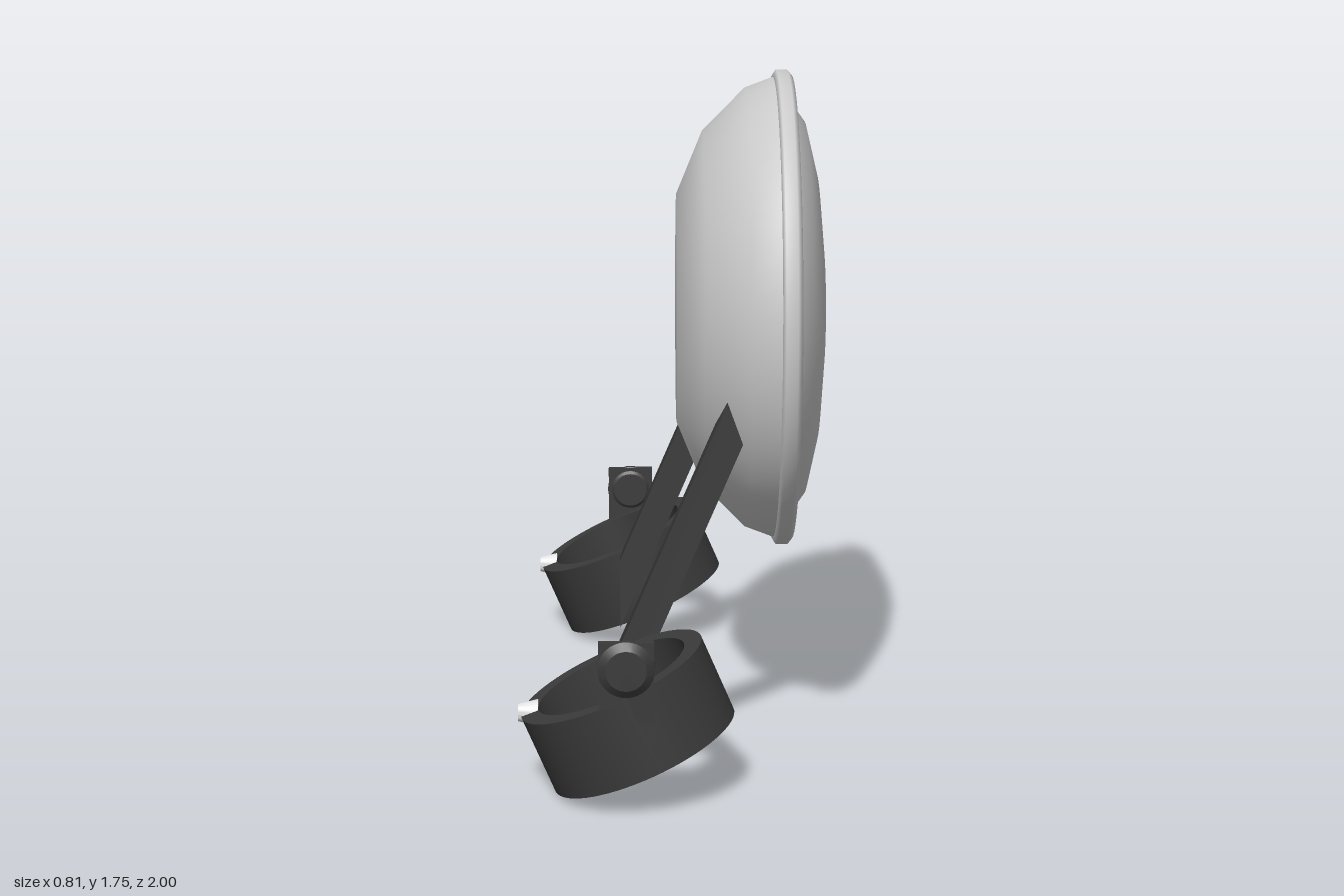
import * as THREE from 'three';
import { toCreasedNormals } from 'three/addons/utils/BufferGeometryUtils.js';

const TILT = 0.41;

const mat = (name, color, side = THREE.FrontSide) => {
  const m = new THREE.MeshStandardMaterial({ color, side });
  m.name = name;
  return m;
};

function mesh(name, geometry, material, x = 0, y = 0, z = 0) {
  const m = new THREE.Mesh(geometry, material);
  m.name = name;
  m.position.set(x, y, z);
  return m;
}

// Revolves [x, radius] pairs around the x axis
function latheX(pairs) {
  const pts = pairs.map(([x, r]) => new THREE.Vector2(r, x));
  return new THREE.LatheGeometry(pts, 64).rotateZ(-Math.PI / 2);
}

// Extrudes a shape and centres it on its depth
function slab(shape, depth) {
  const g = new THREE.ExtrudeGeometry(shape, { depth, bevelEnabled: false, curveSegments: 32 });
  return toCreasedNormals(g.translate(0, 0, -depth / 2), 0.6);
}

export function createModel() {
  const model = new THREE.Group();
  model.name = 'lampOnBracket';
  const shell = mat('light grey', 0xcccccc, THREE.DoubleSide);
  const black = mat('dark grey', 0x3a3a3a);
  const steel = mat('steel', 0xe4e4e4);

  // Lamp: bowl, rim and domed lens, facing +x
  const lamp = new THREE.Group();
  lamp.name = 'lamp';
  lamp.position.y = 1.113;
  lamp.add(
    mesh('bowl', latheX([[0, 0], [0, 0.31], [0.07, 0.48], [0.185, 0.595], [0.265, 0.625]]), shell),
    mesh('rim', latheX([[0.26, 0.6], [0.26, 0.63], [0.268, 0.643], [0.298, 0.643], [0.31, 0.628], [0.312, 0.598], [0.305, 0.567]]), shell),
    mesh('lens', latheX([[0.3, 0.568], [0.345, 0.505], [0.377, 0.37], [0.395, 0.19], [0.401, 0]]), shell)
  );
  model.add(lamp);

  // Shared shapes for the two clamps and arms
  const ring = new THREE.Shape().absarc(0, 0, 0.247, 0, Math.PI * 2);
  ring.holes.push(new THREE.Path().absarc(0, 0, 0.2, 0, Math.PI * 2, true));
  const ringGeo = slab(ring, 0.208).rotateX(-Math.PI / 2);
  const armShape = new THREE.Shape([[0.125, 0.95], [-0.16, 0.29], [-0.16, 0.083], [0.165, 0.84]]
    .map(([x, y]) => new THREE.Vector2(x, y)));
  const armGeo = slab(armShape, 0.064);
  const lugGeo = new THREE.BoxGeometry(0.135, 0.2, 0.024);
  const knobGeo = toCreasedNormals(new THREE.LatheGeometry(
    [[0, -0.022], [0.05, -0.022], [0.07, -0.008], [0.07, 0.008], [0.05, 0.022], [0, 0.022]]
      .map(([r, y]) => new THREE.Vector2(r, y)), 32).rotateX(Math.PI / 2), 0.5);
  const boltGeo = toCreasedNormals(new THREE.CylinderGeometry(0.022, 0.034, 0.05, 16).rotateZ(Math.PI / 2), 0.6);

  for (const s of [1, -1]) {
    const side = s > 0 ? 'front' : 'rear';
    const clamp = mesh(side + 'Clamp', ringGeo, black, -0.13, 0.202, s * 0.743);
    clamp.rotation.z = TILT;
    model.add(
      clamp,
      mesh(side + 'Arm', armGeo, black, 0, 0, s * 0.482),
      mesh(side + 'Lug', lugGeo, black, -0.132, 0.352, s * 0.974),
      mesh(side + 'Knob', knobGeo, black, -0.132, 0.385, s * 0.978),
      mesh(side + 'Bolt', boltGeo, steel, -0.38, 0.203, s * 0.743)
    );
  }
  return model;
}
